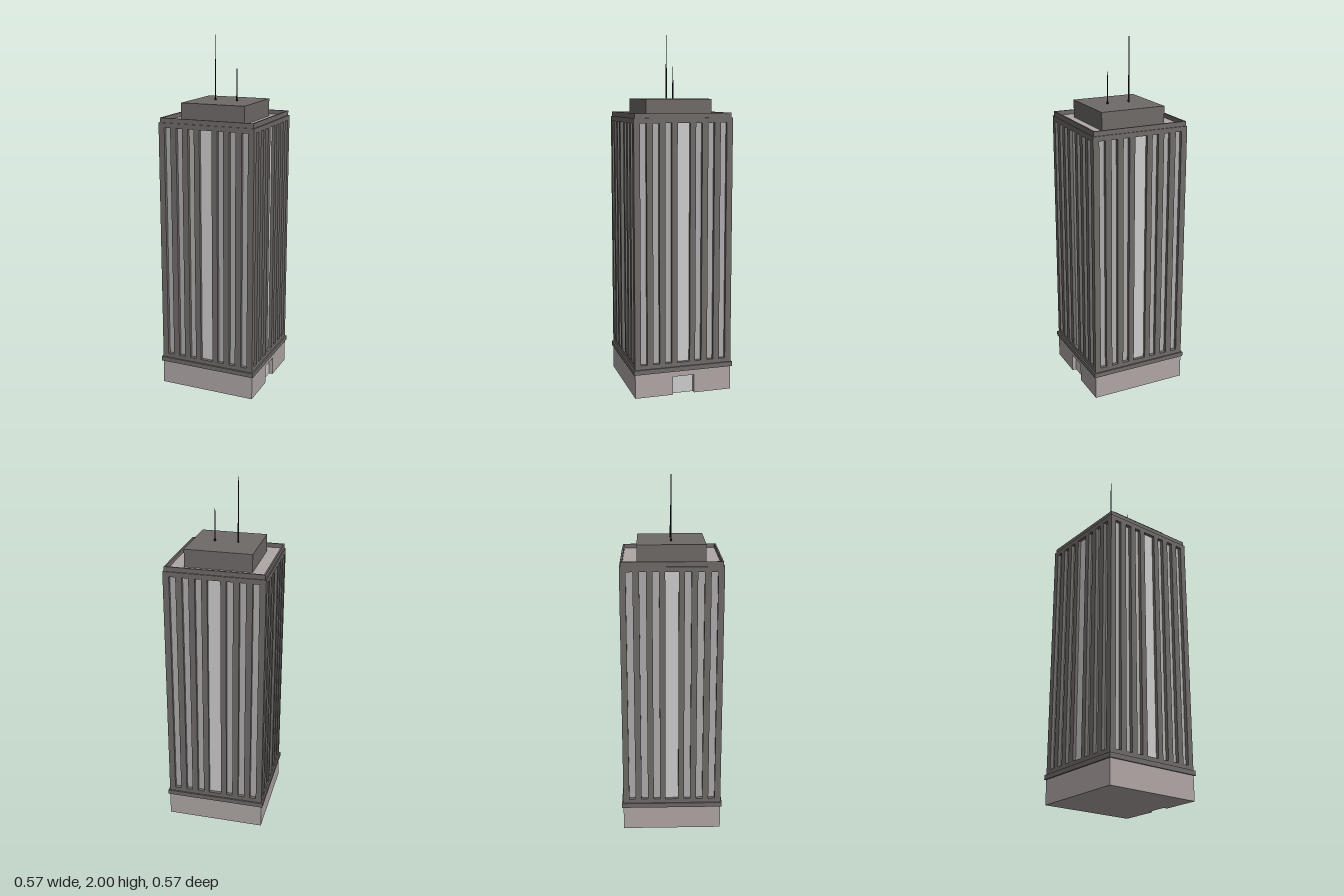
import * as THREE from 'three';

const paint = (color) => new THREE.MeshStandardMaterial({ color });

export function createModel() {
  const tower = new THREE.Group();
  tower.name = 'tower';
  const dark = paint(0x6e6a68), stone = paint(0xaea6a5), glass = paint(0xaeacac);
  const brightGlass = paint(0xbcbebe), metal = paint(0x1c1c1e);

  const add = (name, geometry, material, parent = tower) => {
    const mesh = new THREE.Mesh(geometry, material);
    mesh.name = name;
    parent.add(mesh);
    return mesh;
  };
  // square block of half-width h between two heights
  const block = (name, h, y0, y1, material) => {
    const mesh = add(name, new THREE.BoxGeometry(2 * h, y1 - y0, 2 * h), material);
    mesh.position.y = (y0 + y1) / 2;
    return mesh;
  };
  const rectangle = (x0, x1, y0, y1, Type = THREE.Shape) => new Type([
    [x0, y0], [x1, y0], [x1, y1], [x0, y1],
  ].map(([x, y]) => new THREE.Vector2(x, y)));
  const extrude = (shape, depth) => new THREE.ExtrudeGeometry(shape, { depth, bevelEnabled: false });

  // ground floor with a recessed doorway on the +x side
  const B = 0.279, doorHalf = 0.062, doorTop = 0.105, doorX = B - 0.025;
  const plan = new THREE.Shape([
    [-B, -B], [B, -B], [B, -doorHalf], [doorX, -doorHalf],
    [doorX, doorHalf], [B, doorHalf], [B, B], [-B, B],
  ].map(([x, y]) => new THREE.Vector2(x, y)));
  add('baseLower', extrude(plan, doorTop).rotateX(-Math.PI / 2), stone);
  block('baseUpper', B, doorTop, 0.136, stone);
  const door = add('door', new THREE.BoxGeometry(0.004, doorTop, 2 * doorHalf), brightGlass);
  door.position.set(doorX, doorTop / 2, 0);

  // ledge over the base
  block('ledge', 0.287, 0.136, 0.162, dark);

  // glazed core behind four slotted facades
  const bottom = 0.162, top = 1.542, winBottom = 0.186, winTop = 1.515;
  const core = 0.259, wall = 0.02;
  block('windowGlass', core, bottom, top - 0.004, glass);
  const slots = [[-0.036, 0.036]];
  for (const [inner, outer] of [[0.068, 0.104], [0.138, 0.174], [0.209, 0.245]]) {
    slots.push([inner, outer], [-outer, -inner]);
  }
  for (let i = 0; i < 4; i++) {
    const side = new THREE.Group();
    side.name = 'facade' + (i + 1);
    side.rotation.y = i * Math.PI / 2;
    const half = i % 2 ? core : core + wall; // alternate sides fit between the others
    const outline = rectangle(-half, half, bottom, top);
    for (const [x0, x1] of slots) outline.holes.push(rectangle(x0, x1, winBottom, winTop, THREE.Path));
    add('pillars', extrude(outline, wall), dark, side).position.z = core;
    const pane = add('centralWindow', new THREE.PlaneGeometry(0.08, winTop - winBottom), brightGlass, side);
    pane.position.set(0, (winBottom + winTop) / 2, core + 0.002);
    tower.add(side);
  }

  // roof: parapet ring, deck and penthouse
  const ring = rectangle(-0.273, 0.273, -0.273, 0.273);
  ring.holes.push(rectangle(-0.264, 0.264, -0.264, 0.264, THREE.Path));
  add('parapet', extrude(ring, 0.026).rotateX(-Math.PI / 2), dark).position.y = top;
  block('roofDeck', 0.264, top - 0.004, top + 0.002, stone);
  block('penthouse', 0.187, top, 1.643, dark);

  // masts with a small foot
  for (const [x, tip] of [[-0.065, 2], [0.065, 1.82]]) {
    const height = tip - 1.643;
    add('mast', new THREE.CylinderGeometry(0.002, 0.004, height, 8), metal)
      .position.set(x, 1.643 + height / 2, 0);
    add('mastFoot', new THREE.CylinderGeometry(0.0055, 0.0055, 0.012, 8), metal)
      .position.set(x, 1.649, 0);
  }
  return tower;
}
